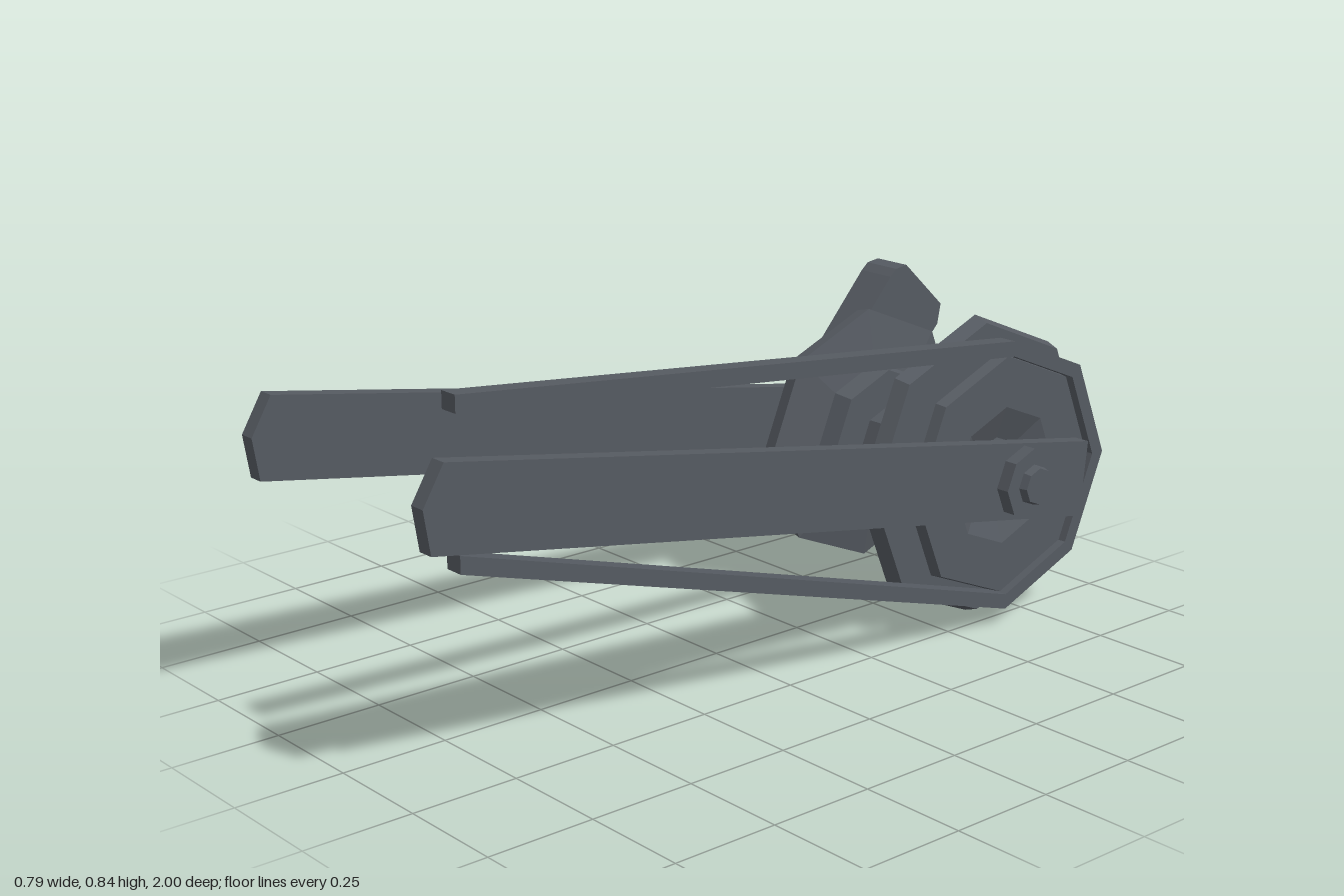
import * as THREE from 'three';

const AXLE_Y = 0.366, AXLE_Z = -0.635;

export function createModel() {
  const group = new THREE.Group();
  const steel = new THREE.MeshStandardMaterial({ color: 0x555a61 });
  steel.name = 'dark steel';
  steel.flatShading = true;

  const add = (name, geometry) => {
    const mesh = new THREE.Mesh(geometry, steel);
    mesh.name = name;
    group.add(mesh);
    return mesh;
  };

  // Eight-sided turned part on the axle; profile is [x, radius] in rising x
  const turned = (name, profile) => {
    const points = profile.map(([x, r]) => new THREE.Vector2(r, x));
    const g = new THREE.LatheGeometry(points, 8);
    g.rotateZ(-Math.PI / 2);
    g.translate(0, AXLE_Y, AXLE_Z);
    return add(name, g);
  };

  // Side outline in [z, y], extruded between two x positions
  const plate = (x0, x1, outline) => {
    const shape = new THREE.Shape(outline.map(([z, y]) => new THREE.Vector2(z, y)));
    const g = new THREE.ExtrudeGeometry(shape, { depth: x1 - x0, bevelEnabled: false });
    g.rotateY(-Math.PI / 2);
    g.translate(x1, 0, 0);
    return g;
  };

  // Hub barrel with tapered axle stubs
  turned('hubAxle', [
    [-0.395, 0], [-0.395, 0.043], [-0.376, 0.048], [-0.376, 0.086],
    [0.376, 0.086], [0.376, 0.048], [0.395, 0.043], [0.395, 0],
  ]);

  // Hub flanges, the left one smaller
  turned('leftFlange', [
    [-0.21, 0], [-0.21, 0.303], [-0.171, 0.313], [-0.147, 0.185], [-0.098, 0.175], [-0.098, 0],
  ]);
  turned('rightFlange', [
    [0.096, 0], [0.096, 0.175], [0.145, 0.185], [0.177, 0.363], [0.215, 0.35], [0.215, 0],
  ]);

  // Dished sprocket
  turned('sprocket', [
    [0.22, 0.08], [0.257, 0.29], [0.286, 0.285], [0.286, 0.165], [0.255, 0.08],
  ]);

  // Chain wrapped round the back half of the sprocket
  const wrap = (r) => Array.from({ length: 5 }, (_, i) => {
    const a = (i * Math.PI) / 4;
    return [AXLE_Z - r * Math.sin(a), AXLE_Y + r * Math.cos(a)];
  });
  add('chain', plate(0.26, 0.304, [
    [0.905, 0.845], ...wrap(0.324), [0.905, 0.49],
    [0.905, 0.528], ...wrap(0.288).reverse(), [0.905, 0.808],
  ]));

  // Brake caliper beside the left flange
  add('brakeCaliper', plate(-0.31, -0.21, [
    [-0.475, 0.43], [-0.745, 0.735], [-0.765, 0.752], [-0.8, 0.757],
    [-0.925, 0.64], [-0.915, 0.59], [-0.64, 0.3], [-0.56, 0.35],
  ]));

  // Swing arms, converging slightly towards the front
  for (const side of [-1, 1]) {
    const g = plate(-0.019, 0.019, [
      [0.95, 0.728], [-0.855, 0.42], [-0.835, 0.24], [0.985, 0.55], [1.0, 0.645],
    ]);
    const p = g.attributes.position;
    for (let i = 0; i < p.count; i++) {
      p.setX(i, p.getX(i) + side * (0.318 - 0.0113 * p.getZ(i)));
    }
    g.computeVertexNormals();
    add(side > 0 ? 'leftSwingArm' : 'rightSwingArm', g);
  }

  // Model-side names for the parts on each side
  group.getObjectByName('leftFlange').name = 'smallFlange';
  group.getObjectByName('rightFlange').name = 'largeFlange';
  return group;
}
